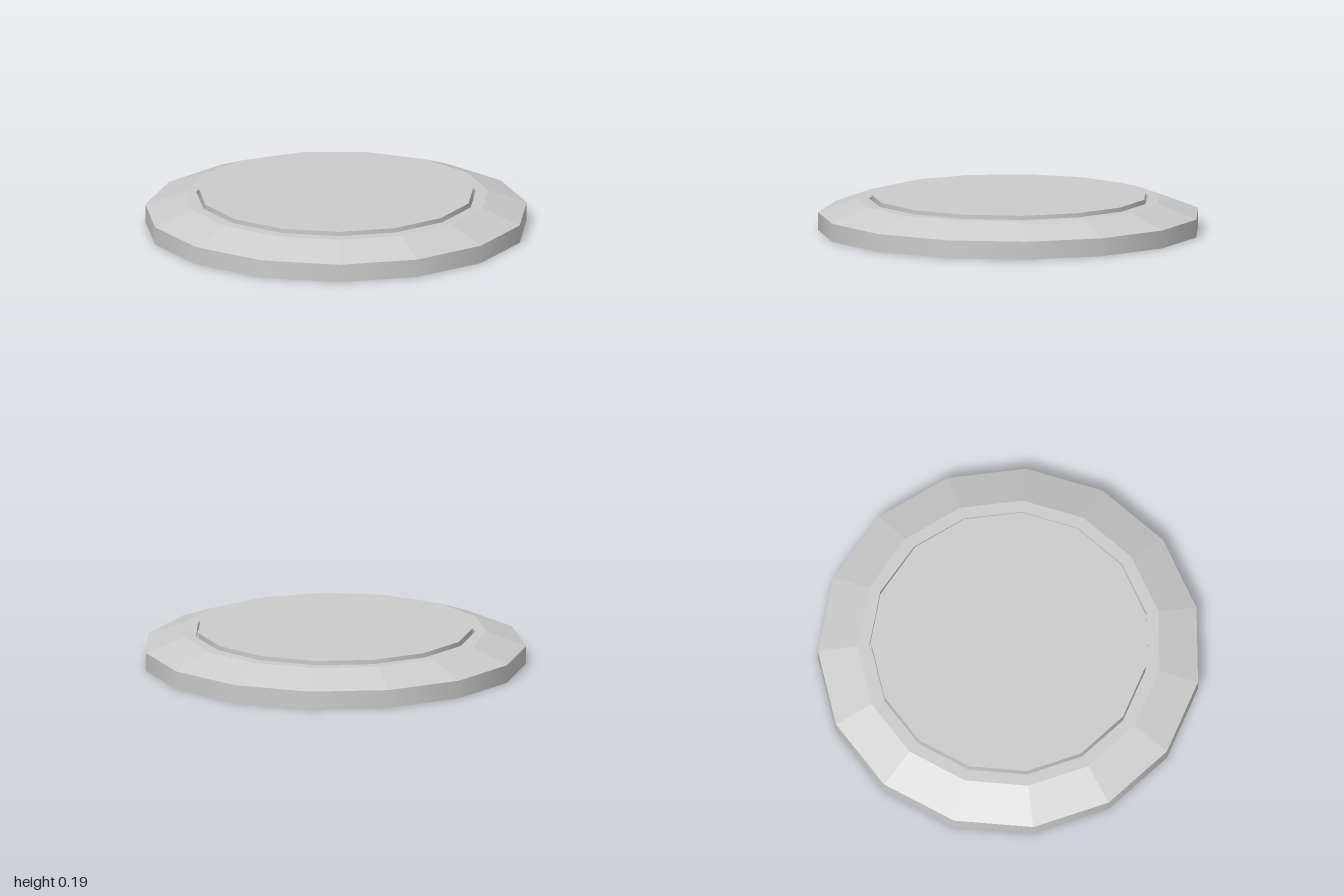
import * as THREE from 'three';

const SIDES = 15;
const smooth = new THREE.MeshStandardMaterial({ color: 0xcccccc });
const flat = new THREE.MeshStandardMaterial({ color: 0xcccccc, flatShading: true });
const inward = new THREE.MeshStandardMaterial({ color: 0xcccccc, side: THREE.BackSide });

// Fifteen-sided band between two heights, with one corner on +x
function band(name, rBottom, rTop, y0, y1, material, open = true) {
  const geometry = new THREE.CylinderGeometry(rTop, rBottom, y1 - y0, SIDES, 1, open, Math.PI / 2);
  const mesh = new THREE.Mesh(geometry, material);
  mesh.name = name;
  mesh.position.y = (y0 + y1) / 2;
  return mesh;
}

// Flat horizontal ring facing up
function ring(name, rInner, rOuter, y) {
  const geometry = new THREE.RingGeometry(rInner, rOuter, SIDES).rotateX(-Math.PI / 2);
  const mesh = new THREE.Mesh(geometry, smooth);
  mesh.name = name;
  mesh.position.y = y;
  return mesh;
}

export function createModel() {
  const group = new THREE.Group();
  group.name = 'roundBase';

  const R = 1.0055, shoulder = 0.8, grooveR = 0.737, discR = 0.725;
  const rimY = 0.095, shoulderY = 0.17, topY = 0.19, grooveY = 0.13;

  // Base body: underside, rim, bevel and narrow flat shoulder
  const underside = new THREE.Mesh(
    new THREE.CircleGeometry(R, SIDES).rotateX(Math.PI / 2), smooth);
  underside.name = 'underside';
  group.add(
    underside,
    band('rim', R, R, 0, rimY, smooth),
    band('bevel', R, shoulder, rimY, shoulderY, flat),
    ring('shoulder', grooveR, shoulder, shoulderY),
  );

  // Thin groove around the raised disc
  group.add(
    band('grooveWall', grooveR, grooveR, grooveY, shoulderY, inward),
    ring('grooveFloor', discR, grooveR, grooveY),
  );

  // Raised centre disc
  group.add(band('topDisc', discR, discR, grooveY, topY, smooth, false));

  // An odd-sided outline is off-centre in x, so shift it back
  const shift = -R * (1 - Math.cos(Math.PI / SIDES)) / 2;
  group.children.forEach((part) => { part.position.x = shift; });
  return group;
}
